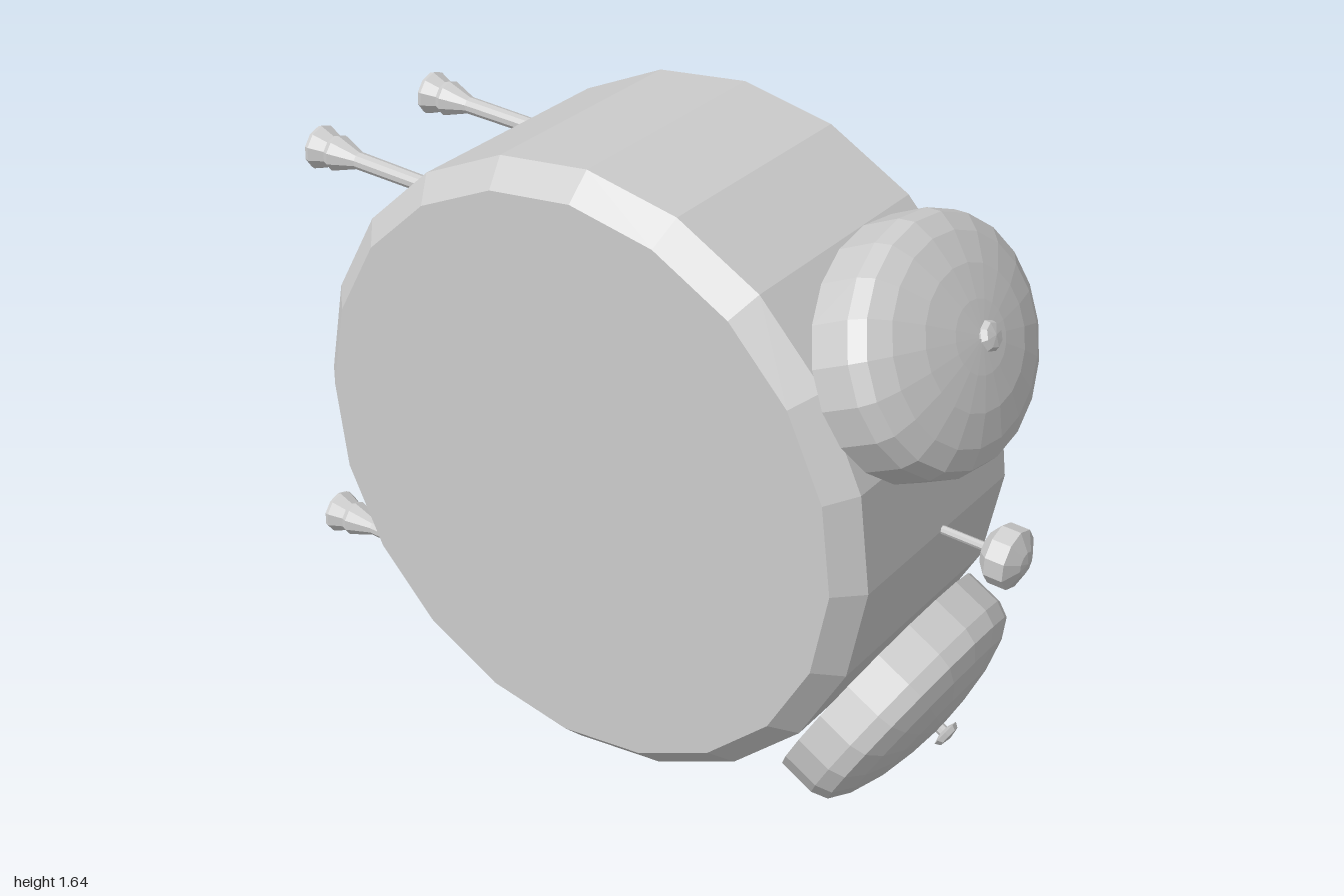
import * as THREE from 'three';

const material = new THREE.MeshStandardMaterial({ color: 0xcccccc, flatShading: true, side: THREE.DoubleSide });

// Turned part: profile is a list of [radius, height] from bottom to top
function turned(name, profile, sides) {
  const points = profile.map(([r, h]) => new THREE.Vector2(r, h));
  const mesh = new THREE.Mesh(new THREE.LatheGeometry(points, sides), material);
  mesh.name = name;
  return mesh;
}

// Dome bell with its bolt, opening towards the case
function makeBell(name) {
  const bell = new THREE.Group();
  bell.name = name;
  const dome = turned('bellDome', [
    [1, 0], [1, 0.1], [0.95, 0.14], [0.8, 0.17], [0.55, 0.195], [0.28, 0.208], [0, 0.214],
  ], 20);
  dome.scale.set(0.36, 1, 0.305);
  const bolt = turned('bellBolt', [
    [0, -0.04], [0.015, -0.04], [0.015, 0.225], [0.038, 0.232], [0.03, 0.245], [0, 0.25],
  ], 8);
  bell.add(dome, bolt);
  return bell;
}

export function createModel() {
  const model = new THREE.Group();
  model.name = 'alarmClock';

  // The clock lies with its bells to the front (+z) and its dial to the side (+x)
  const clock = new THREE.Group();
  clock.name = 'clock';
  clock.position.set(0, 0.82, -0.05);
  clock.rotation.set(0.035, 0.126, 0, 'YXZ');
  model.add(clock);

  // Drum case with chamfered edges and a recessed dial bed
  const drum = turned('case', [
    [0, -0.39], [0.756, -0.39], [0.82, -0.325], [0.82, 0.31],
    [0.735, 0.38], [0.675, 0.39], [0.665, 0.35], [0, 0.35],
  ], 20);
  drum.rotation.z = -Math.PI / 2;
  clock.add(drum);

  // Slightly domed dial glass
  const glass = turned('dialGlass', [
    [0.64, 0.34], [0.64, 0.405], [0.45, 0.427], [0.2, 0.44], [0, 0.443],
  ], 20);
  glass.rotation.z = -Math.PI / 2;
  clock.add(glass);

  // Pair of bells
  for (const side of [1, -1]) {
    const bell = makeBell(side > 0 ? 'upperBell' : 'lowerBell');
    bell.position.set(-0.01, side * 0.46, 0.69);
    bell.rotation.x = Math.PI / 2 - side * 0.48;
    clock.add(bell);
  }

  // Hammer between the bells
  const hammer = new THREE.Group();
  hammer.name = 'hammer';
  hammer.add(
    turned('hammerRod', [[0, 0.75], [0.011, 0.75], [0.011, 0.96], [0, 0.96]], 8),
    turned('hammerHead', [
      [0, 0.945], [0.045, 0.945], [0.076, 0.972], [0.076, 1.022], [0.03, 1.045], [0, 1.05],
    ], 10),
  );
  hammer.position.x = 0.01;
  hammer.rotation.x = Math.PI / 2;
  clock.add(hammer);

  // Four feet: thin rods with flared ends
  for (const x of [-0.216, 0.216]) {
    for (const y of [-0.557, 0.557]) {
      const foot = turned('foot', [
        [0, 0.51], [0.021, 0.51], [0.023, 0.8], [0.048, 0.87],
        [0.042, 0.885], [0.058, 0.925], [0.056, 0.935], [0, 0.935],
      ], 10);
      foot.position.set(x, y, 0);
      foot.rotation.x = -Math.PI / 2;
      clock.add(foot);
    }
  }

  return model;
}
